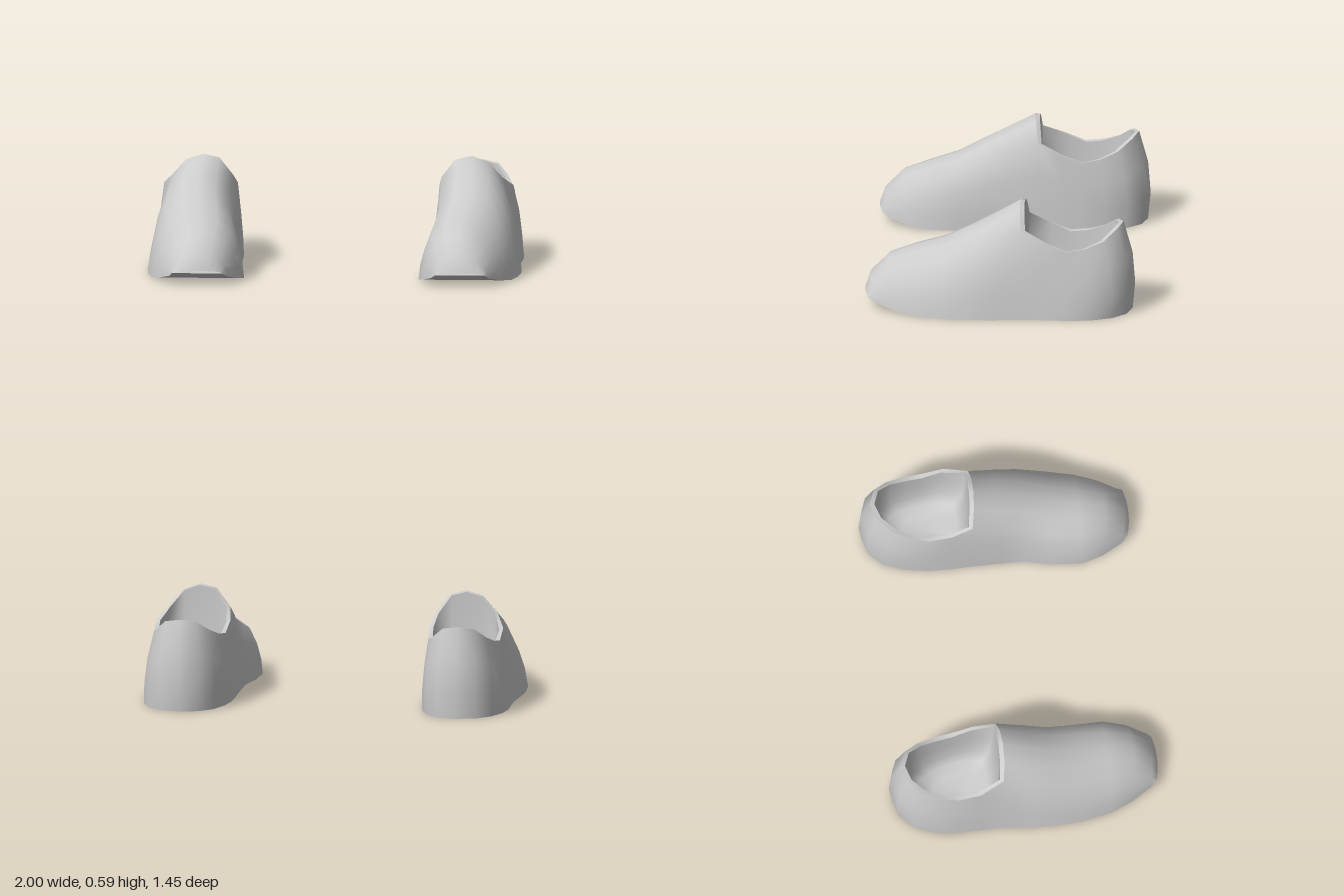
import * as THREE from 'three';
import { mergeVertices } from 'three/addons/utils/BufferGeometryUtils.js';

// Arch profiles as [across, height], from inner sole edge to outer sole edge
const TOE = [[0, 0], [0.02, 0.26], [0.07, 0.52], [0.16, 0.78], [0.3, 0.94], [0.47, 1],
  [0.62, 0.95], [0.78, 0.78], [0.9, 0.52], [0.97, 0.26], [1, 0]];
const THROAT = [[0, 0], [0.01, 0.24], [0.04, 0.52], [0.09, 0.8], [0.25, 0.965], [0.44, 1],
  [0.63, 0.95], [0.8, 0.8], [0.915, 0.52], [0.965, 0.24], [1, 0]];

// Toe to throat: z, bend, inner x, outer x, sole y, top y, blend from TOE to THROAT
const STATIONS = [
  [0.72, 0.02, 0.57, 0.84, 0.065, 0.08, 0],
  [0.692, 0.025, 0.545, 0.855, 0.045, 0.165, 0],
  [0.59, 0.03, 0.495, 0.915, 0.02, 0.27, 0.1],
  [0.45, 0, 0.467, 0.96, 0.005, 0.32, 0.2],
  [0.29, 0, 0.48, 0.99, 0, 0.37, 0.45],
  [0.14, 0, 0.512, 1, 0, 0.45, 0.7],
  [0.02, 0, 0.515, 0.995, 0, 0.515, 0.9],
  [-0.11, 0.035, 0.515, 0.98, 0, 0.59, 1],
];

// Round the heel, inner to outer side: foot x, foot z, rim x, rim y, rim z
const HEEL = [
  [0.512, -0.25, 0.54, 0.415, -0.25], [0.515, -0.38, 0.548, 0.37, -0.37],
  [0.535, -0.5, 0.57, 0.385, -0.47], [0.575, -0.61, 0.605, 0.42, -0.56],
  [0.645, -0.685, 0.665, 0.475, -0.635], [0.745, -0.713, 0.75, 0.49, -0.665],
  [0.85, -0.685, 0.835, 0.475, -0.635], [0.925, -0.61, 0.89, 0.42, -0.565],
  [0.97, -0.5, 0.92, 0.385, -0.47], [0.985, -0.38, 0.935, 0.37, -0.37],
  [0.98, -0.25, 0.935, 0.415, -0.25],
];

const lerp = THREE.MathUtils.lerp;
const CX = 0.745, CZ = -0.39; // middle of the foot opening

const arches = STATIONS.map(([z, bend, xi, xo, y0, y1, b]) => TOE.map(([tu, tv], j) => {
  const u = lerp(tu, THROAT[j][0], b), v = lerp(tv, THROAT[j][1], b);
  return [lerp(xi, xo, u), lerp(y0, y1, v), z - bend * (2 * u - 1) ** 2];
}));
const throat = arches[arches.length - 1];

const heelColumns = HEEL.map(([fx, fz, rx, ry, rz]) => [0, 0.3, 0.65, 1].map((t) => {
  const x = lerp(fx, rx, t), z = lerp(fz, rz, t);
  const d = Math.hypot(x - CX, z - CZ);
  const back = THREE.MathUtils.clamp((-fz - 0.3) / 0.4, 0.1, 1);
  const bulge = 0.035 * back * Math.sin(Math.PI * t) / d;
  return [x + (x - CX) * bulge, ry * t, z + (z - CZ) * bulge];
}));
const columns = [throat.slice(0, 4), ...heelColumns, throat.slice(7).reverse()];

// Closed edge of the foot opening, and the same edge moved inwards
const rim = [...columns.map((c) => c[3]), throat[6], throat[5], throat[4], throat[3]];
const innerRim = rim.map(([x, y, z]) => {
  const k = 1 - 0.024 / Math.hypot(x - CX, z - CZ);
  return [CX + (x - CX) * k, y - 0.004, CZ + (z - CZ) * k];
});

// Joins grids of points into one smooth surface; side -1 mirrors it in x
function surface(name, grids, side, material) {
  const pos = [], index = [];
  for (const grid of grids) {
    const base = pos.length / 3, n = grid[0].length;
    grid.forEach((row) => row.forEach(([x, y, z]) => pos.push(x * side, y, z)));
    for (let i = 0; i < grid.length - 1; i++) {
      for (let j = 0; j < n - 1; j++) {
        const a = base + i * n + j, d = a + 1, b = a + n, c = b + 1;
        if (side > 0) index.push(a, d, b, d, c, b);
        else index.push(a, b, d, d, b, c);
      }
    }
  }
  let geo = new THREE.BufferGeometry();
  geo.setAttribute('position', new THREE.Float32BufferAttribute(pos, 3));
  geo.setIndex(index);
  geo = mergeVertices(geo, 1e-5);
  geo.computeVertexNormals();
  const mesh = new THREE.Mesh(geo, material);
  mesh.name = name;
  return mesh;
}

function makeShoe(name, side, material) {
  const shoe = new THREE.Group();
  shoe.name = name;

  // Vamp and heel walls
  shoe.add(surface('upper', [arches, columns], side, material));

  // Flat sole, strips across from outer to inner edge
  const soleRows = arches.map((a) => [a[10], a[0]]);
  for (let k = 1; k <= 6; k++) soleRows.push([columns[12 - k][0], columns[k][0]]);
  shoe.add(surface('sole', [soleRows], side, material));

  // Thick edge of the opening
  shoe.add(surface('collarRim', [rim.map((p, i) => [p, innerRim[i]])], side, material));

  // Bowl-shaped inside down to the footbed
  const levels = [[1, 1], [0.99, 0.6], [0.93, 0.25], [0.75, 0.06], [0.4, 0], [0, 0]];
  const lining = innerRim.map(([x, y, z]) => levels.map(([s, f]) =>
    [CX + (x - CX) * s, lerp(0.05, y, f), CZ + (z - CZ) * s]));
  shoe.add(surface('lining', [lining], side, material));
  return shoe;
}

export function createModel() {
  const material = new THREE.MeshStandardMaterial({ color: 0xcccccc, side: THREE.DoubleSide });
  const model = new THREE.Group();
  model.name = 'pairOfShoes';
  model.add(makeShoe('leftShoe', 1, material), makeShoe('rightShoe', -1, material));
  return model;
}
